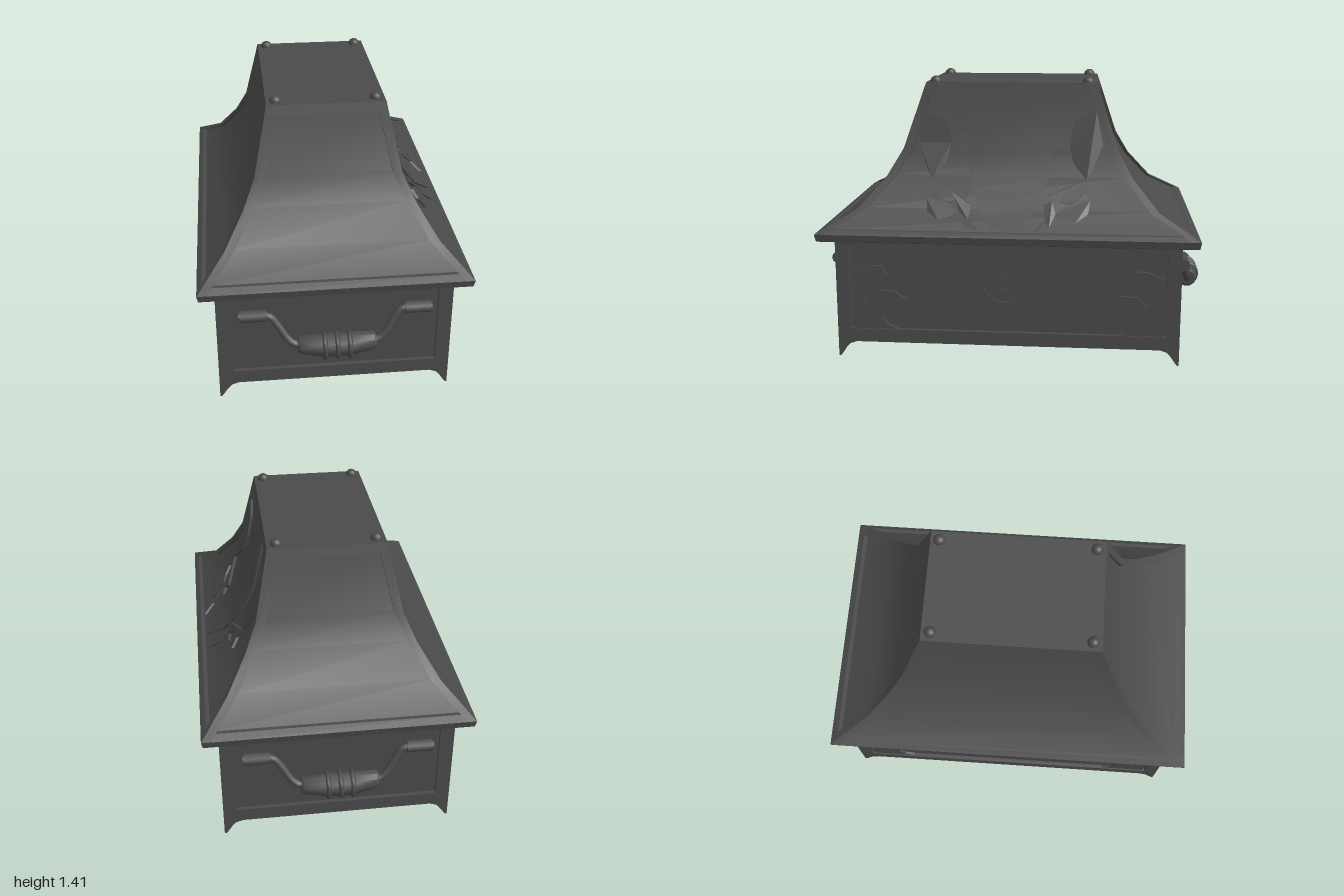
import * as THREE from 'three';
import { toCreasedNormals } from 'three/addons/utils/BufferGeometryUtils.js';

const material = new THREE.MeshStandardMaterial({ color: 0x4a4a4a });

// Lid cross-section: half width x, height y, half depth z
const LID = [
  [0.655, 0.66, 0.945], [0.63, 0.68, 0.91], [0.52, 0.77, 0.75], [0.42, 0.92, 0.62],
  [0.36, 1.05, 0.545], [0.3, 1.33, 0.452], [0.29, 1.38, 0.435],
];
const BODY = [[0.575, 0.08, 0.865], [0.575, 0.15, 0.865], [0.575, 0.59, 0.865], [0.575, 0.63, 0.865]];
const RECESS = 0.02;

function add(parent, name, geometry, x = 0, y = 0, z = 0) {
  const mesh = new THREE.Mesh(geometry, material);
  mesh.name = name;
  mesh.position.set(x, y, z);
  parent.add(mesh);
  return mesh;
}

// Skin over rows of points; closed rows are rings with capped ends
function skin(rows, closed = false) {
  const n = rows[0].length, pos = rows.flat(2), idx = [];
  for (let r = 0; r < rows.length - 1; r++) {
    for (let c = 0; c < (closed ? n : n - 1); c++) {
      const a = r * n + c, b = r * n + (c + 1) % n;
      idx.push(a, b, b + n, a, b + n, a + n);
    }
  }
  if (closed) {
    const top = (rows.length - 1) * n;
    for (let c = 1; c < n - 1; c++) idx.push(0, c + 1, c, top, top + c, top + c + 1);
  }
  const g = new THREE.BufferGeometry();
  g.setAttribute('position', new THREE.Float32BufferAttribute(pos, 3));
  g.setIndex(idx);
  return toCreasedNormals(g, 0.5);
}

const ring = (x0, x1, y, z0, z1) => [[x0, y, z1], [x1, y, z1], [x1, y, z0], [x0, y, z0]];

// Wall facing +z with a border and a sunken panel; rows are [half width, y, outward]
function panelWall(rows, border) {
  const line = ([w, y, o], sunk) => {
    const i = w - border, p = o - (sunk ? RECESS : 0);
    return [[-w, y, o], [-i, y, o], [-i, y, p], [i, y, p], [i, y, o], [w, y, o]];
  };
  const inner = rows.slice(1, -1);
  return skin([
    line(rows[0]), line(inner[0]), ...inner.map((r) => line(r, true)),
    line(inner[inner.length - 1]), line(rows[rows.length - 1]),
  ]);
}

// Outward distance of the lid's long sides at height y
function lidX(y) {
  let i = 0;
  while (i < LID.length - 2 && y > LID[i + 1][1]) i++;
  const [x0, y0] = LID[i], [x1, y1] = LID[i + 1];
  return x0 + (x1 - x0) * (y - y0) / (y1 - y0);
}

const outline = (pts, side = 1) => new THREE.Shape(pts.map(([u, y]) => new THREE.Vector2(u * side, y)));
const relief = (shape, depth) =>
  new THREE.ExtrudeGeometry(shape, { depth, bevelEnabled: false, curveSegments: 10 });

// Leafy scroll in the panel corners of the body
const SCROLL = [
  [0.785, 0.15], [0.785, 0.445], [0.7, 0.48], [0.633, 0.483], [0.606, 0.434], [0.62, 0.397],
  [0.676, 0.39], [0.724, 0.327], [0.724, 0.236], [0.697, 0.306], [0.649, 0.349], [0.574, 0.354],
  [0.51, 0.31], [0.52, 0.28], [0.58, 0.3], [0.627, 0.268], [0.633, 0.214], [0.6, 0.17], [0.552, 0.15],
];
// Leaf along the lid's hip, and the curl beside its central shield
const LEAF = [
  [0.434, 1.24], [0.32, 1.19], [0.3, 1.08], [0.32, 0.99], [0.39, 0.91], [0.42, 0.96], [0.47, 1.08],
];
const CURL = [
  [0.39, 0.91], [0.2, 0.835], [0.22, 0.81], [0.18, 0.79], [0.19, 0.73], [0.14, 0.69], [0.21, 0.7],
  [0.24, 0.76], [0.27, 0.73], [0.34, 0.725], [0.4, 0.76], [0.41, 0.82], [0.38, 0.86],
  [0.35, 0.82], [0.3, 0.8], [0.26, 0.81], [0.29, 0.85],
];

// U-shaped lock outline: straight sides ending in a half round
function lockOutline(w, top, bottom, Type) {
  const s = new Type();
  s.moveTo(-w, top);
  s.lineTo(-w, bottom + w);
  s.absarc(0, bottom + w, w, Math.PI, Math.PI * 2, false);
  s.lineTo(w, top);
  s.closePath();
  return s;
}

function makeLock() {
  const lock = new THREE.Group();
  lock.name = 'lock';
  const z = 0.575 - RECESS;
  const band = lockOutline(0.155, 0.59, 0.29, THREE.Shape);
  band.holes.push(lockOutline(0.125, 0.565, 0.31, THREE.Path));
  add(lock, 'lockBorder', relief(band, RECESS), 0, 0, z);
  const plate = lockOutline(0.125, 0.565, 0.31, THREE.Shape);
  const keyhole = new THREE.Path();
  keyhole.moveTo(-0.02, 0.375);
  keyhole.lineTo(-0.01, 0.45);
  keyhole.absarc(0, 0.475, 0.028, Math.PI * 1.4, Math.PI * 1.6, true);
  keyhole.lineTo(0.02, 0.375);
  keyhole.closePath();
  plate.holes.push(keyhole);
  add(lock, 'lockPlate', relief(plate, 0.012), 0, 0, z);
  return lock;
}

function makeLidOrnament() {
  const g = new THREE.Group();
  g.name = 'lidOrnament';
  // Central shield following the curve of the lid
  const widths = [[0.07, 0.695], [0.14, 0.77], [0.18, 0.86], [0.2, 0.92], [0.22, 1.05], [0.22, 1.33]];
  add(g, 'lidShield', skin(widths.map(([w, y]) =>
    ring(-w, w, y, lidX(y) - 0.04, lidX(y) - 0.006)), true));
  for (const side of [-1, 1]) {
    for (const [name, pts] of [['lidLeaf', LEAF], ['lidCurl', CURL]]) {
      const geo = relief(outline(pts, side), 0.03);
      const p = geo.attributes.position;
      for (let i = 0; i < p.count; i++) p.setZ(i, p.getZ(i) + lidX(p.getY(i)) - 0.035);
      geo.computeVertexNormals();
      add(g, name, geo);
    }
  }
  return g;
}

function makeHandle() {
  const g = new THREE.Group();
  g.name = 'handle';
  for (const s of [-1, 1]) {
    add(g, 'handleBracket', new THREE.CylinderGeometry(0.03, 0.03, 0.125, 10), s * 0.3975, 0.49, 0.885)
      .rotation.z = Math.PI / 2;
    add(g, 'handleEnd', new THREE.CylinderGeometry(0.02, 0.02, 0.14, 8), s * 0.3975, 0.49, 0.885)
      .rotation.z = Math.PI / 2;
    const path = new THREE.CatmullRomCurve3([
      [0.35, 0.49, 0.885], [0.315, 0.482, 0.887], [0.285, 0.445, 0.897], [0.235, 0.372, 0.92],
      [0.205, 0.348, 0.928], [0.16, 0.342, 0.93],
    ].map(([x, y, z]) => new THREE.Vector3(s * x, y, z)));
    add(g, 'handleArm', new THREE.TubeGeometry(path, 16, 0.019, 8));
  }
  // Swollen grip, sagging a little in the middle
  const profile = [[0, -0.19], [0.038, -0.19], [0.046, -0.18], [0.057, -0.08], [0.06, 0],
    [0.057, 0.08], [0.046, 0.18], [0.038, 0.19], [0, 0.19]];
  const grip = new THREE.LatheGeometry(profile.map(([r, y]) => new THREE.Vector2(r, y)), 10);
  grip.rotateZ(Math.PI / 2);
  const p = grip.attributes.position;
  for (let i = 0; i < p.count; i++) p.setY(i, p.getY(i) + 0.4 * p.getX(i) ** 2);
  add(g, 'handleGrip', toCreasedNormals(grip, 0.7), 0, 0.33, 0.932);
  for (const x of [-0.06, 0, 0.06]) {
    add(g, 'gripRing', new THREE.TorusGeometry(0.058, 0.012, 8, 16), x, 0.33, 0.932)
      .rotation.y = Math.PI / 2;
  }
  return g;
}

export function createModel() {
  const model = new THREE.Group();
  model.name = 'chest';

  // Panelled walls of body and lid, turned to face each side
  const swap = (rows) => rows.map(([x, y, z]) => [z, y, x]);
  for (let k = 0; k < 4; k++) {
    const side = new THREE.Group();
    side.name = ['frontSide', 'lockSide', 'backSide', 'plainSide'][k];
    side.rotation.y = k * Math.PI / 2;
    const long = k % 2 === 1;
    add(side, 'bodyWall', panelWall(long ? swap(BODY) : BODY, 0.07));
    add(side, 'lidWall', panelWall(long ? swap(LID) : LID, 0.045));
    if (long) {
      for (const s of [-1, 1]) {
        add(side, 'cornerScroll', relief(outline(SCROLL, s), 0.014), 0, 0, 0.575 - RECESS);
      }
    } else side.add(makeHandle());
    if (k === 1) side.add(makeLock(), makeLidOrnament());
    model.add(side);

    // Pointed corner foot
    const foot = [[0.008, 0], [0.018, 0.012], [0.04, 0.045], [0.06, 0.068], [0.095, 0.08]];
    const sx = k < 2 ? 1 : -1, sz = k === 0 || k === 3 ? 1 : -1;
    add(model, 'foot', skin(foot.map(([s, y]) => ring(-s, 0, y, -s, 0)), true), sx * 0.575, 0, sz * 0.865)
      .rotation.y = k * Math.PI / 2;

    // Corner knob on the lid
    add(model, 'lidKnob', new THREE.SphereGeometry(0.03, 14, 10), sx * 0.243, 1.381, sz * 0.39);
  }

  add(model, 'bodyFloor', new THREE.BoxGeometry(1.148, 0.02, 1.728), 0, 0.09, 0);
  add(model, 'lidRim', skin([
    ring(-0.635, 0.635, 0.62, -0.925, 0.925), ring(-0.648, 0.648, 0.625, -0.938, 0.938),
    ring(-0.655, 0.655, 0.66, -0.945, 0.945),
  ], true));
  add(model, 'lidTop', new THREE.BoxGeometry(0.579, 0.01, 0.869), 0, 1.3755, 0);
  return model;
}
